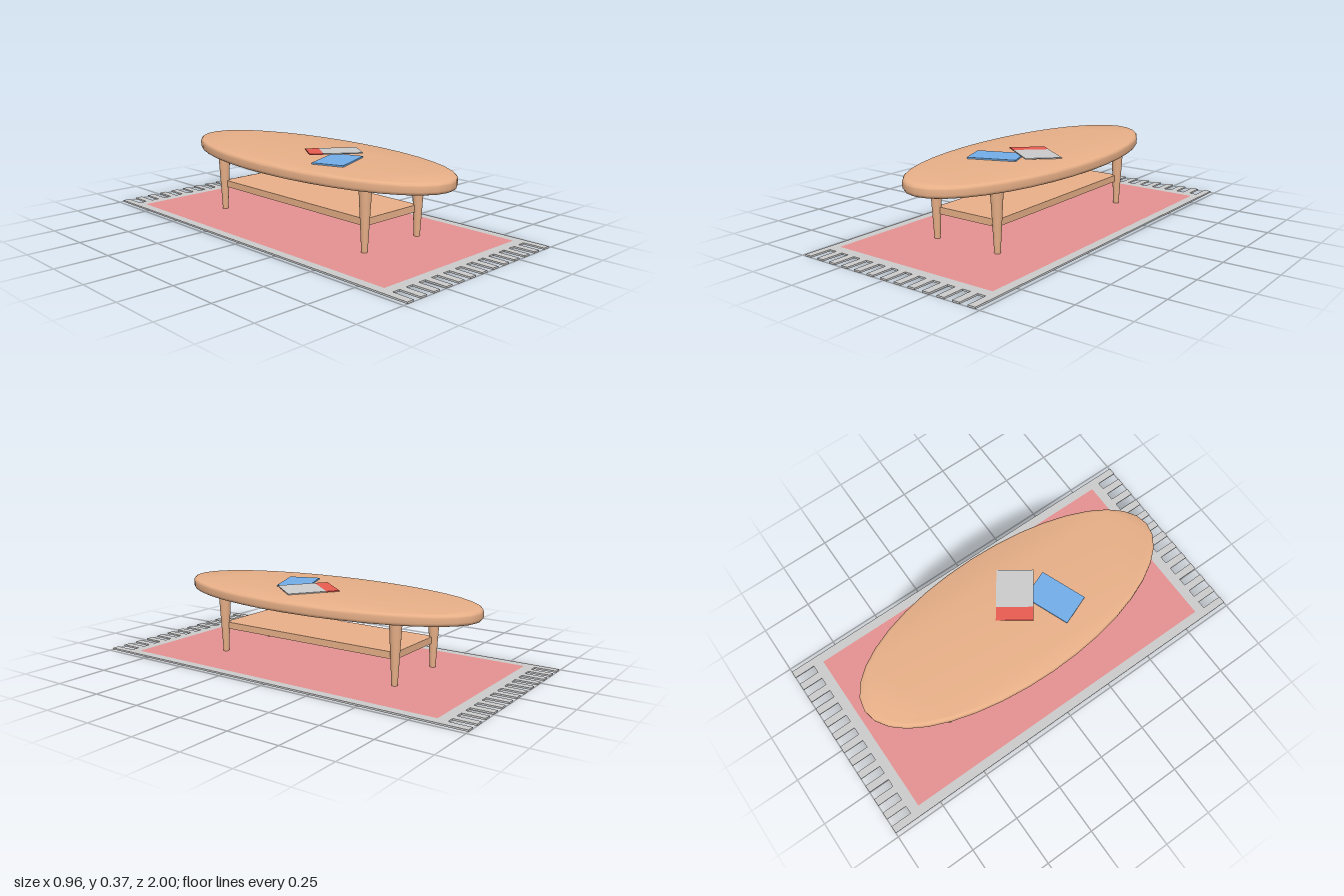
import * as THREE from 'three';
import { toCreasedNormals } from 'three/addons/utils/BufferGeometryUtils.js';

const material = (color) => new THREE.MeshStandardMaterial({ color });
const wood = material(0xe8b088);
const grey = material(0xcccccc);
const rugRed = material(0xe59191);
const coverRed = material(0xe85c50);
const coverBlue = material(0x71ade8);

function add(parent, name, geometry, mat, x = 0, y = 0, z = 0) {
  const mesh = new THREE.Mesh(geometry, mat);
  mesh.name = name;
  mesh.position.set(x, y, z);
  parent.add(mesh);
  return mesh;
}

const RUG_T = 0.008;

// Rug border: one outline with square fringe at both ends and a hole for the panel
function rugBorderGeometry() {
  const half = 0.48, body = 0.895, end = 1, count = 13, width = 0.037;
  const step = (2 * half - width) / (count - 1);
  const points = [];
  for (const s of [1, -1]) {
    for (let i = 0; i < count; i++) {
      const a = s * (-half + i * step), b = a + s * width;
      points.push([a, -s * body], [a, -s * end], [b, -s * end], [b, -s * body]);
    }
  }
  const shape = new THREE.Shape(points.map(([x, y]) => new THREE.Vector2(x, y)));
  const hole = new THREE.Path();
  hole.moveTo(-0.435, -0.845).lineTo(-0.435, 0.845).lineTo(0.435, 0.845).lineTo(0.435, -0.845).closePath();
  shape.holes.push(hole);
  return new THREE.ExtrudeGeometry(shape, { depth: RUG_T, bevelEnabled: false }).rotateX(-Math.PI / 2);
}

// Oval slab with an evenly rounded rim
function tableTopGeometry() {
  const rim = 0.016;
  const shape = new THREE.Shape();
  shape.absellipse(0, 0, 0.338 - rim, 0.809 - rim, 0, Math.PI * 2, false);
  const geometry = new THREE.ExtrudeGeometry(shape, {
    depth: 0.054 - 2 * rim, bevelThickness: rim, bevelSize: rim, bevelSegments: 4, curveSegments: 18,
  });
  geometry.rotateX(-Math.PI / 2).translate(0, rim, 0);
  return toCreasedNormals(geometry, 0.7);
}

export function createModel() {
  const model = new THREE.Group();
  model.name = 'coffeeTableOnRug';

  // Rug
  const rug = new THREE.Group();
  rug.name = 'rug';
  model.add(rug);
  add(rug, 'rugBorderAndFringe', rugBorderGeometry(), grey);
  add(rug, 'rugPanel', new THREE.BoxGeometry(0.87, RUG_T, 1.69), rugRed, 0, RUG_T / 2, 0);

  // Table
  const table = new THREE.Group();
  table.name = 'table';
  model.add(table);
  add(table, 'tableTop', tableTopGeometry(), wood, 0, 0.298, 0);
  add(table, 'lowerShelf', new THREE.BoxGeometry(0.35, 0.033, 0.99), wood, 0, 0.141, 0);
  const legGeometry = new THREE.CylinderGeometry(0.03, 0.014, 0.294, 20);
  for (const x of [-1, 1]) {
    for (const z of [-1, 1]) {
      add(table, (z > 0 ? 'front' : 'back') + (x > 0 ? 'Left' : 'Right') + 'Leg',
        legGeometry, wood, x * 0.176, RUG_T + 0.146, z * 0.495);
    }
  }

  // Blue magazine lying flat
  const blue = add(model, 'blueMagazine', new THREE.BoxGeometry(0.234, 0.007, 0.154), coverBlue, -0.058, 0.3555, 0.209);
  blue.rotation.y = 0.372;

  // Second magazine leaning on the blue one, with a red band at one end
  const magazine = new THREE.Group();
  magazine.name = 'bandedMagazine';
  magazine.position.set(0.059, 0.3595, 0.062);
  magazine.rotation.set(-0.045, -0.623, 0, 'YXZ');
  model.add(magazine);
  add(magazine, 'magazineBand', new THREE.BoxGeometry(0.066, 0.005, 0.176), coverRed, -0.094, 0, 0);
  add(magazine, 'magazineCover', new THREE.BoxGeometry(0.188, 0.005, 0.176), grey, 0.033, 0, 0);

  return model;
}
